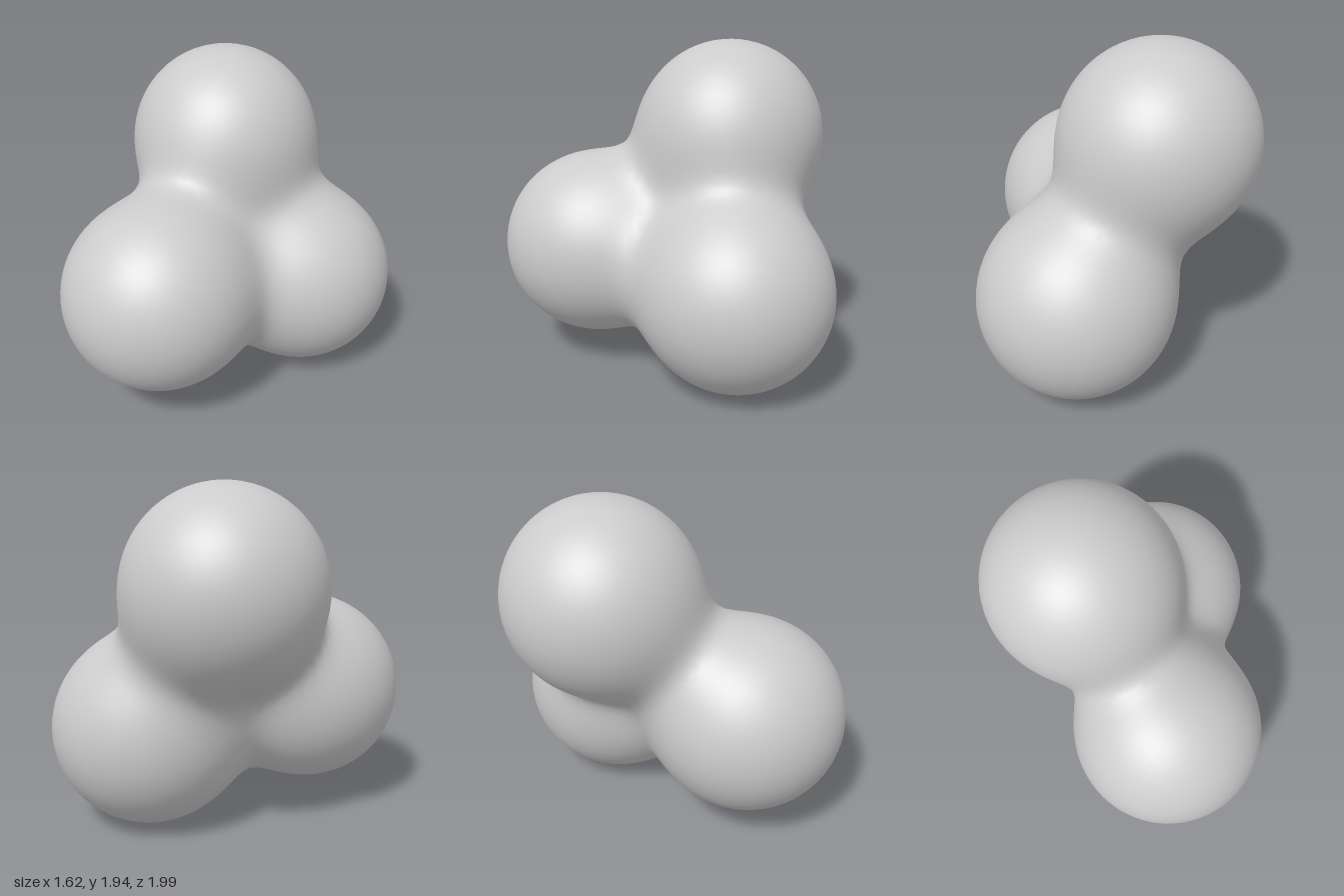
import * as THREE from 'three';

// Three round lobes: centre and radius
const LOBES = [
  { c: new THREE.Vector3(-0.26, 1.39, -0.37), r: 0.55 }, // upper
  { c: new THREE.Vector3(-0.205, 0.705, 0.44), r: 0.555 }, // front
  { c: new THREE.Vector3(0.255, 0.555, -0.442), r: 0.555 }, // rear
];
const BLEND = 0.125;

// Smooth union of the lobes: negative inside, positive outside
function field(p) {
  let sum = 0;
  for (const { c, r } of LOBES) sum += Math.exp((r - p.distanceTo(c)) / BLEND);
  return -BLEND * Math.log(sum);
}

function gradient(p) {
  const e = 1e-3;
  const g = [0, 1, 2].map((a) => {
    const hi = p.clone(), lo = p.clone();
    hi.setComponent(a, p.getComponent(a) + e);
    lo.setComponent(a, p.getComponent(a) - e);
    return (field(hi) - field(lo)) / (2 * e);
  });
  return new THREE.Vector3(...g);
}

// Skin the field: one vertex per crossed grid cell, pulled onto the surface
function blendedGeometry(step) {
  const origin = new THREE.Vector3(-1.1, -0.1, -1.1);
  const n = Math.ceil(2.2 / step) + 1;
  const stride = [1, n, n * n];
  const values = new Float32Array(n ** 3);
  const at = (i, j, k) => new THREE.Vector3(i, j, k).multiplyScalar(step).add(origin);
  for (let k = 0; k < n; k++)
    for (let j = 0; j < n; j++)
      for (let i = 0; i < n; i++) values[i + j * n + k * n * n] = field(at(i, j, k));

  const positions = [], normals = [], index = [], cells = new Map();
  const vertexOf = (id) => {
    if (cells.has(id)) return cells.get(id);
    const p = at((id % n) + 0.5, (Math.floor(id / n) % n) + 0.5, Math.floor(id / (n * n)) + 0.5);
    for (let s = 0; s < 6; s++) {
      const g = gradient(p);
      p.addScaledVector(g, -field(p) / Math.max(g.lengthSq(), 0.2));
    }
    positions.push(p.x, p.y, p.z);
    normals.push(...gradient(p).normalize().toArray());
    cells.set(id, positions.length / 3 - 1);
    return positions.length / 3 - 1;
  };

  // One quad around every grid edge that crosses the surface
  for (let k = 1; k < n - 1; k++)
    for (let j = 1; j < n - 1; j++)
      for (let i = 1; i < n - 1; i++) {
        const id = i + j * n + k * n * n;
        for (let a = 0; a < 3; a++) {
          const inside = values[id] < 0;
          if (inside === values[id + stride[a]] < 0) continue;
          const b = stride[(a + 1) % 3], c = stride[(a + 2) % 3];
          const q = [id - b - c, id - c, id, id - b].map(vertexOf);
          if (!inside) q.reverse();
          index.push(q[0], q[1], q[2], q[0], q[2], q[3]);
        }
      }

  const geometry = new THREE.BufferGeometry();
  geometry.setAttribute('position', new THREE.Float32BufferAttribute(positions, 3));
  geometry.setAttribute('normal', new THREE.Float32BufferAttribute(normals, 3));
  geometry.setIndex(index);
  return geometry;
}

export function createModel() {
  const group = new THREE.Group();
  group.name = 'threeLobedBlob';
  const body = new THREE.Mesh(
    blendedGeometry(0.05),
    new THREE.MeshStandardMaterial({ color: 0xcccccc }),
  );
  body.name = 'blendedLobes';
  group.add(body);
  return group;
}
